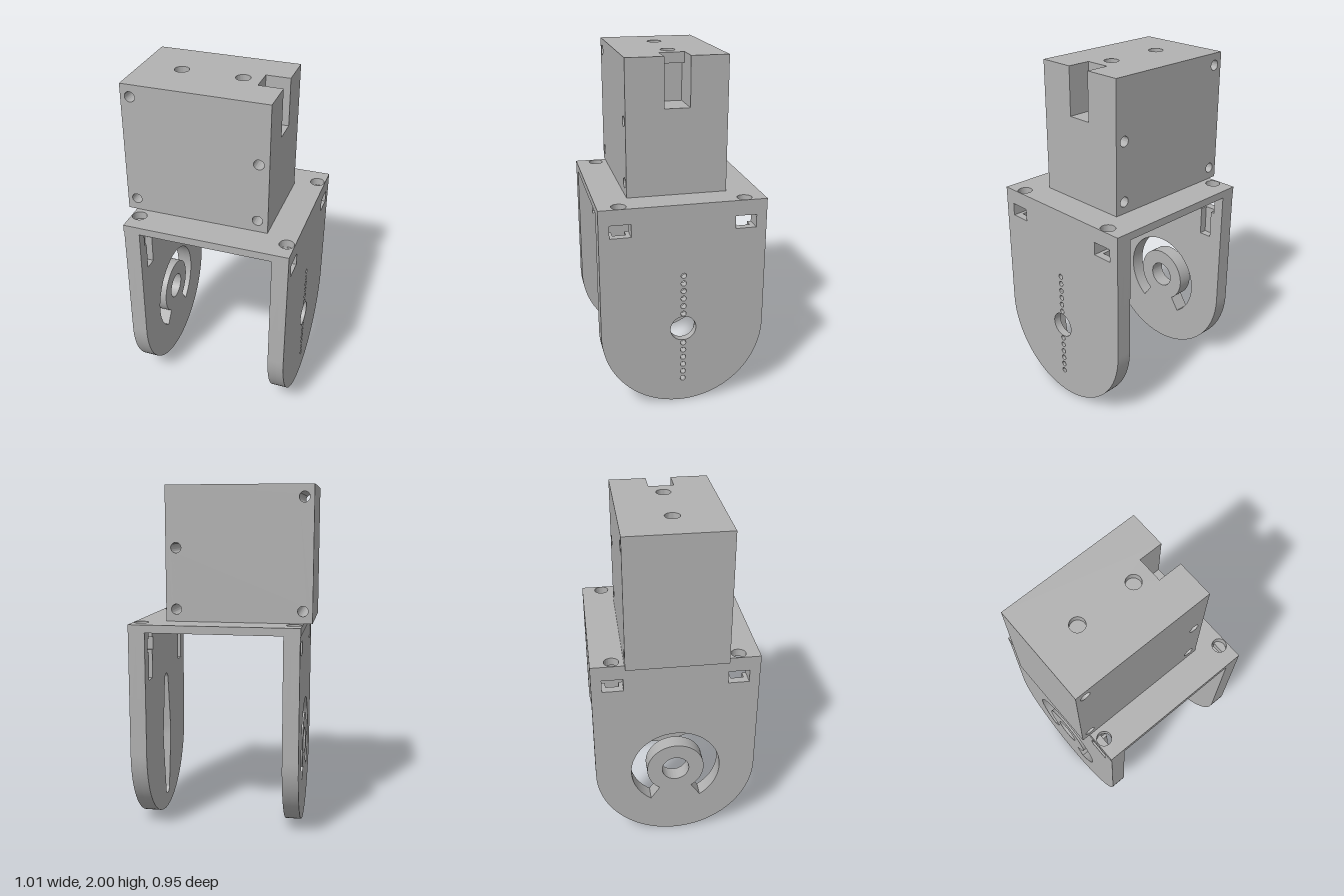
import * as THREE from 'three';
import { toCreasedNormals } from 'three/addons/utils/BufferGeometryUtils.js';

const grey = new THREE.MeshStandardMaterial({ color: 0xb2b2b2 });
grey.name = 'grey';

const R = 0.475;            // arm end radius, also the half depth of the bracket
const ARM_TOP = 1.185, PLATE_TOP = 1.23;
const NUT_Z = 0.355;        // nut traps and corner holes, either side of the middle

const poly = (pts) => new THREE.Shape(pts.map(([x, y]) => new THREE.Vector2(x, y)));
const rect = (x0, y0, x1, y1) => poly([[x0, y0], [x1, y0], [x1, y1], [x0, y1]]);
const circle = (x, y, r) => new THREE.Path().absarc(x, y, r, 0, Math.PI * 2, true);

// Extrude a shape from a to b along the chosen axis
function slab(name, shape, holes, axis, a, b) {
  shape.holes.push(...holes);
  let g = new THREE.ExtrudeGeometry(shape, { depth: b - a, bevelEnabled: false, curveSegments: 40 });
  g.translate(0, 0, a);
  if (axis === 'x') g.rotateY(Math.PI / 2);
  if (axis === 'y') g.rotateX(-Math.PI / 2);
  g = toCreasedNormals(g, 0.5);
  const mesh = new THREE.Mesh(g, grey);
  mesh.name = name;
  return mesh;
}

// Round-ended arm outline; the inner layer has open screw channels crossing the nut windows
function armOutline(channels) {
  const s = new THREE.Shape();
  s.moveTo(-R, R);
  s.absarc(0, R, R, Math.PI, Math.PI * 2, false);
  s.lineTo(R, ARM_TOP);
  if (channels) {
    const half = [[0.037, ARM_TOP], [0.037, 1.14], [0.06, 1.14], [0.06, 1.065], [0.037, 1.065], [0.037, 0.9]];
    for (const c of [NUT_Z, -NUT_Z]) {
      half.forEach(([w, y]) => s.lineTo(c + w, y));
      [...half].reverse().forEach(([w, y]) => s.lineTo(c - w, y));
    }
  }
  s.lineTo(-R, ARM_TOP);
  s.closePath();
  return s;
}
const nutWindows = () => [-NUT_Z, NUT_Z].map((c) => rect(c - 0.06, 1.065, c + 0.06, 1.14));

// C-shaped slot around the hub, open at the bottom
function arcSlot() {
  const a0 = -Math.PI / 2 + 0.6, a1 = Math.PI * 1.5 - 0.6;
  const p = new THREE.Path();
  p.absarc(0, R, 0.265, a0, a1, false);
  p.absarc(0, R, 0.17, a1, a0, true);
  p.closePath();
  return p;
}

// Double-ended tapered recess
function hornRecess() {
  const p = new THREE.Path();
  p.absarc(0, R + 0.35, 0.04, 0, Math.PI, false);
  p.lineTo(-0.088, R + 0.03);
  p.lineTo(-0.088, R - 0.03);
  p.absarc(0, R - 0.35, 0.04, Math.PI, Math.PI * 2, false);
  p.lineTo(0.088, R - 0.03);
  p.lineTo(0.088, R + 0.03);
  p.closePath();
  return p;
}

function bracket() {
  const g = new THREE.Group();
  g.name = 'bracket';
  // Top plate with four corner screw holes and one middle hole
  const holes = [circle(-0.15, 0, 0.042)];
  for (const x of [-0.413, 0.459]) for (const z of [-NUT_Z, NUT_Z]) holes.push(circle(x, z, 0.042));
  g.add(slab('topPlate', rect(-0.46, -R, 0.505, R), holes, 'y', ARM_TOP, PLATE_TOP));

  // Left arm: row of pin holes outside, tapered recess inside
  const pins = [];
  for (let i = 0; i < 6; i++) {
    for (const s of [-1, 1]) pins.push(circle(0, R + s * (0.094 + i * 0.0475), 0.016));
  }
  g.add(slab('leftArmOuter', armOutline(false), [...nutWindows(), ...pins, circle(0, R, 0.075)], 'x', 0.46, 0.505));
  g.add(slab('leftArmInner', armOutline(true), [hornRecess()], 'x', 0.41, 0.46));

  // Right arm: hub with a curved slot through the full thickness
  g.add(slab('rightArmOuter', armOutline(false), [...nutWindows(), arcSlot(), circle(0, R, 0.08)], 'x', -0.457, -0.41));
  g.add(slab('rightArmInner', armOutline(true), [arcSlot(), circle(0, R, 0.08)], 'x', -0.41, -0.365));
  return g;
}

function block() {
  const g = new THREE.Group();
  g.name = 'block';
  const x0 = -0.51, x1 = 0.33, D = 0.287, N = 0.073, CAP = 1.96;
  const screwHoles = () => [[-0.455, 1.93], [0.27, 1.65], [-0.455, 1.3], [0.27, 1.3]]
    .map(([x, y]) => circle(x, y, 0.0295));
  // Solid front and back
  g.add(slab('blockFront', rect(x0, PLATE_TOP, x1, 2), screwHoles(), 'z', N, D));
  g.add(slab('blockBack', rect(x0, PLATE_TOP, x1, 2), screwHoles(), 'z', -D, -N));
  // Middle with the side notch and its undercut
  const core = poly([[x0, PLATE_TOP], [x1, PLATE_TOP], [x1, 1.72], [0.13, 1.72], [0.13, 1.94],
    [0.19, 1.94], [0.19, CAP], [x0, CAP]]);
  g.add(slab('blockCore', core, screwHoles(), 'z', -N, N));
  // Strip holding the two shallow top holes
  g.add(slab('blockTopStrip', rect(x0, -N, 0.19, N),
    [circle(-0.268, 0, 0.042), circle(0.086, 0, 0.042)], 'y', CAP, 2));
  return g;
}

export function createModel() {
  const model = new THREE.Group();
  model.name = 'blockOnBracket';
  model.add(bracket(), block());
  return model;
}
